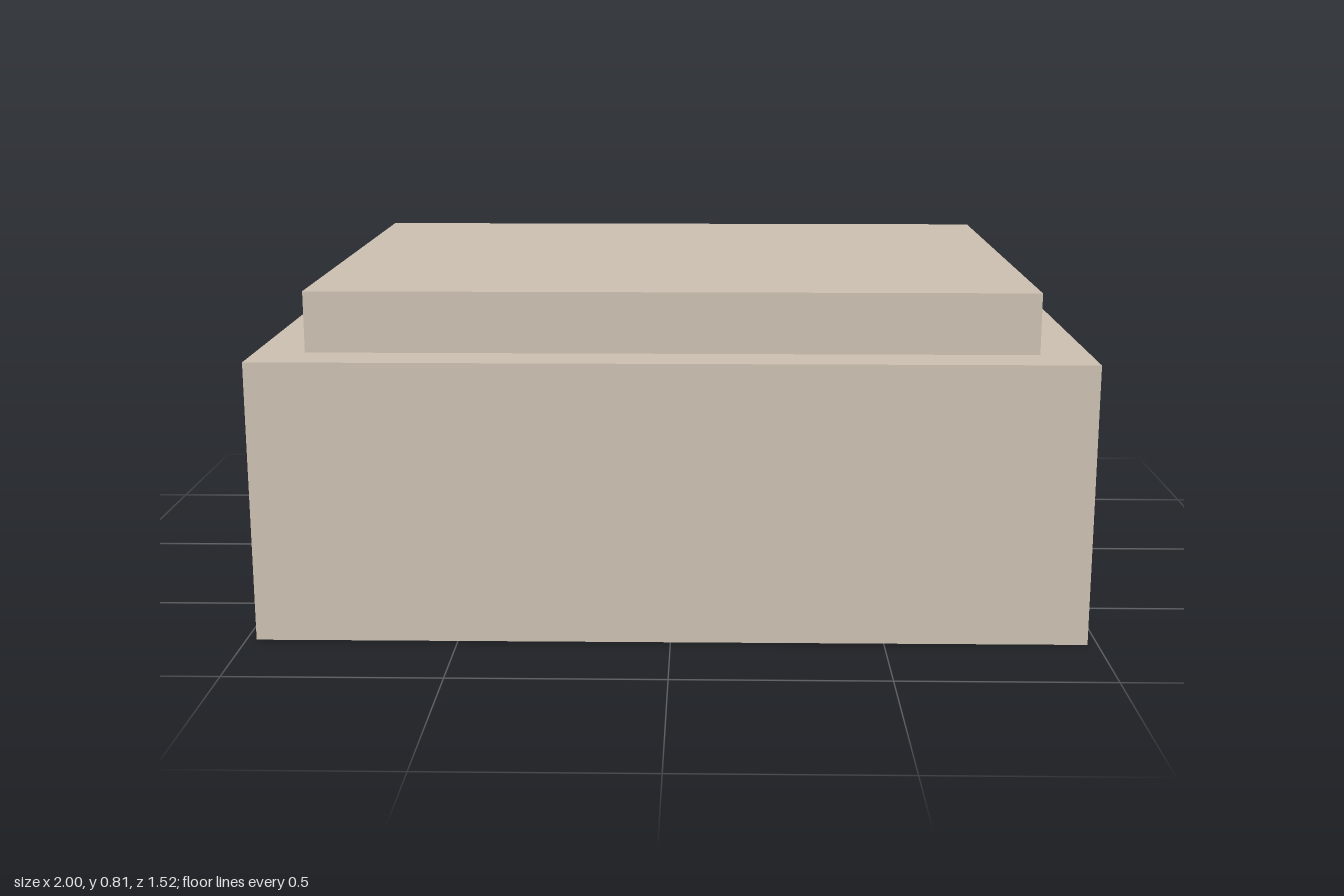
import * as THREE from 'three';

export function createModel() {
  const model = new THREE.Group();
  model.name = 'storageBox';

  const beige = new THREE.MeshStandardMaterial({ color: 0xcabfb0 });
  beige.name = 'warm beige';
  const slate = new THREE.MeshStandardMaterial({ color: 0x535a68 });
  slate.name = 'slate grey';

  // Adds a block of the given size, standing on height y
  function addBlock(name, material, [w, h, d], x, y) {
    const mesh = new THREE.Mesh(new THREE.BoxGeometry(w, h, d), material);
    mesh.name = name;
    mesh.position.set(x, y + h / 2, 0);
    model.add(mesh);
  }

  // Main body and the smaller raised lid
  const bodyHeight = 0.667;
  addBlock('body', beige, [1.952, bodyHeight, 1.523], 0, 0);
  addBlock('lid', beige, [1.716, 0.145, 1.285], 0, bodyHeight);

  // Handles on both sides, set slightly into the body
  const handleWidth = 0.034;
  for (const side of [1, -1]) {
    addBlock(side > 0 ? 'leftHandle' : 'rightHandle', slate,
      [handleWidth, 0.095, 0.284], side * (1 - handleWidth / 2), 0.384);
  }

  return model;
}
